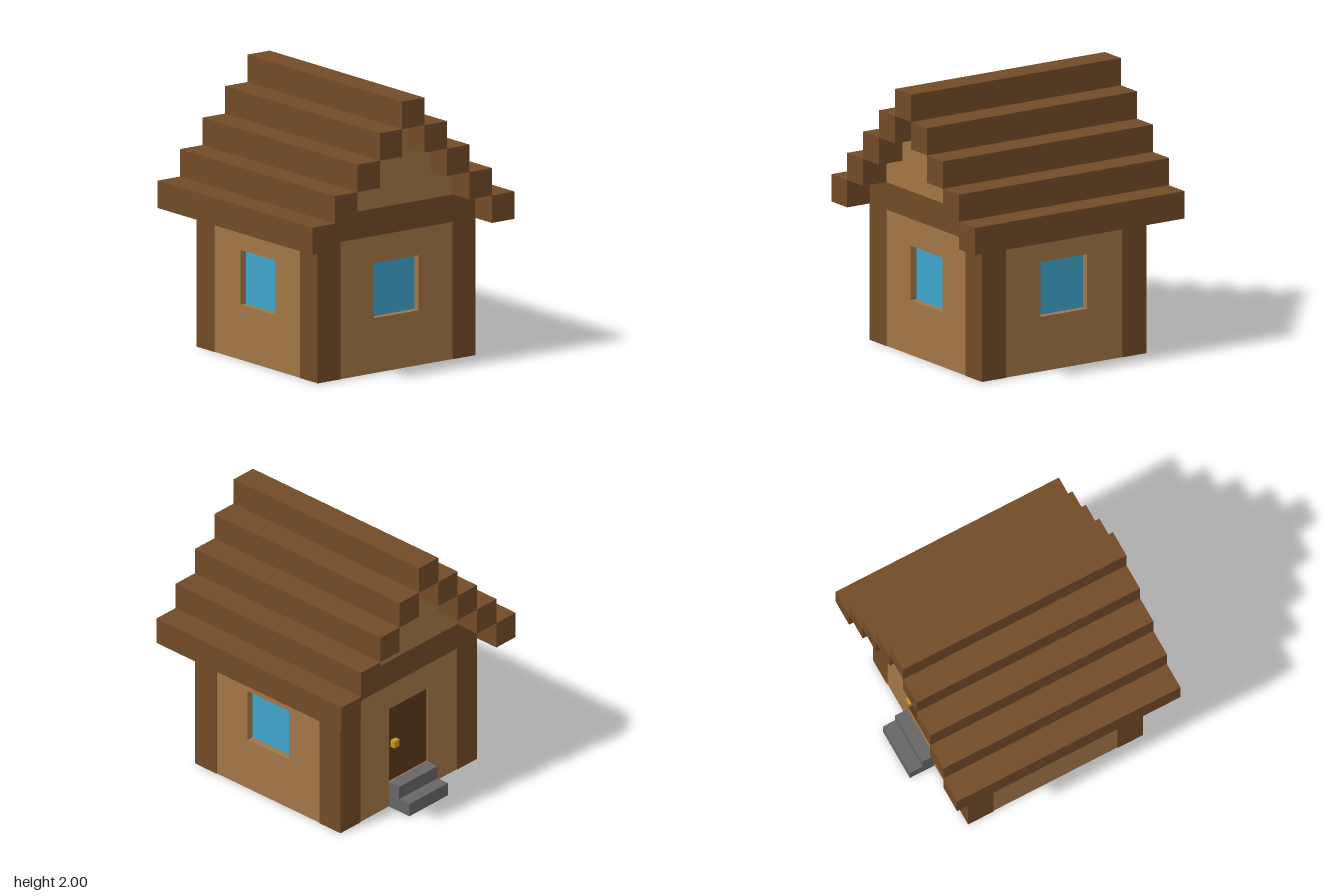
import * as THREE from 'three';

const mat = (color) => new THREE.MeshStandardMaterial({ color, flatShading: true });
const plaster = mat(0xa27646);
const timber = mat(0x724b27);
const glass = mat(0x40a5cc);
const doorWood = mat(0x5b371c);
const brass = mat(0xc8961e);
const stone = mat(0x666666);

// Box given by its min and max corners
function box(name, material, [x0, y0, z0], [x1, y1, z1]) {
  const mesh = new THREE.Mesh(new THREE.BoxGeometry(x1 - x0, y1 - y0, z1 - z0), material);
  mesh.position.set((x0 + x1) / 2, (y0 + y1) / 2, (z0 + z1) / 2);
  mesh.name = name;
  return mesh;
}

const polygon = (points) => new THREE.Shape(points.map(([x, y]) => new THREE.Vector2(x, y)));

function extrude(name, material, shape, depth, z) {
  const geometry = new THREE.ExtrudeGeometry(shape, { depth, bevelEnabled: false });
  geometry.translate(0, 0, z);
  const mesh = new THREE.Mesh(geometry, material);
  mesh.name = name;
  return mesh;
}

// Wall panel between two posts, with a square opening starting at height sill
function wallPanel(sill) {
  const shape = polygon([[-0.5, 0], [0.5, 0], [0.5, 1], [-0.5, 1]]);
  shape.holes.push(polygon([[-0.2, sill], [-0.2, 0.8], [0.2, 0.8], [0.2, sill]]));
  return extrude('wall', plaster, shape, 0.2, 0.5);
}

// Stepped gable end resting on the tie beam
function gable() {
  const points = [];
  for (let i = 0; i < 3; i++) {
    const w = 0.5 - 0.2 * i, y = 1.2 + 0.2 * i;
    points.push([w, y], [w, y + 0.2]);
  }
  const mirrored = points.map(([x, y]) => [-x, y]).reverse();
  return extrude('gable', plaster, polygon([...points, ...mirrored]), 0.2, 0.5);
}

export function createModel() {
  const house = new THREE.Group();
  house.name = 'house';

  // Four sides, each built facing +z and turned: front, left, back, right
  ['front', 'left', 'back', 'right'].forEach((label, i) => {
    const side = new THREE.Group();
    side.name = label + 'Side';
    side.rotation.y = (i * Math.PI) / 2;

    if (label === 'right') {
      side.add(wallPanel(0.2));
      side.add(box('door', doorWood, [-0.2, 0.2, 0.59], [0.2, 0.8, 0.69]));
      side.add(box('doorKnob', brass, [-0.17, 0.475, 0.68], [-0.12, 0.53, 0.73]));
      // Entrance steps, profile drawn outwards from the wall
      const steps = extrude('steps', stone,
        polygon([[0.7, 0], [0.9, 0], [0.9, 0.1], [0.8, 0.1], [0.8, 0.2], [0.7, 0.2]]), 0.4, -0.2);
      steps.rotation.y = -Math.PI / 2;
      side.add(steps);
    } else {
      side.add(wallPanel(0.4));
      side.add(box('windowPane', glass, [-0.2, 0.4, 0.55], [0.2, 0.8, 0.65]));
    }

    // Corner post and tie beam
    side.add(box('cornerPost', timber, [0.5, 0, 0.5], [0.705, 1, 0.705]));
    const gabled = i % 2 === 1;
    const half = gabled ? 0.7 : 0.5;
    side.add(box('tieBeam', timber, [-half, 1, 0.5], [half, 1.2, gabled ? 0.705 : 0.7]));
    if (gabled) side.add(gable());
    house.add(side);
  });

  // Roof of stepped logs running along x, mirrored front to back
  const roof = new THREE.Group();
  roof.name = 'roof';
  for (let i = 0; i < 4; i++) {
    const y = 1 + 0.2 * i, z = 0.7 - 0.2 * i;
    roof.add(box('roofLog', timber, [-0.9, y, z], [0.9, y + 0.2, z + 0.2]));
    roof.add(box('roofLog', timber, [-0.9, y, -z - 0.2], [0.9, y + 0.2, -z]));
  }
  roof.add(box('ridgeLog', timber, [-0.9, 1.8, -0.1], [0.9, 2, 0.1]));
  house.add(roof);

  return house;
}
